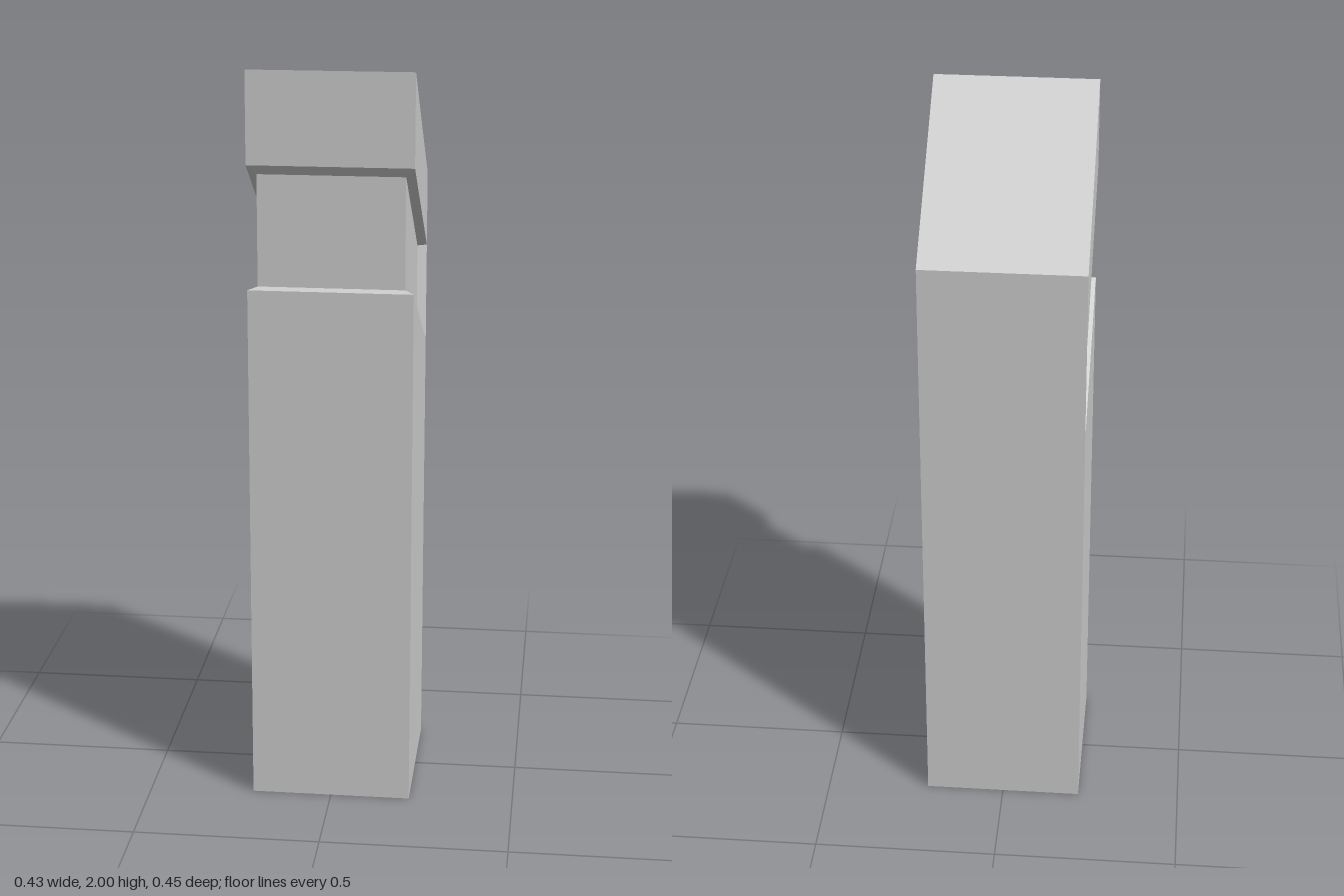
import * as THREE from 'three';

const HALF_X = 0.216, HALF_Z = 0.225;

// Cross-section ring, counter-clockwise from above. The back corners stay on the
// rim while the inner corners can be set in, leaving a chamfer along the back edges.
function section({ inset = 0, front, back, rim = back }) {
  const x = HALF_X - inset, z = HALF_Z - inset;
  return [
    [-HALF_X, rim, -HALF_Z], [-x, back, -z], [-x, front, z],
    [x, front, z], [x, back, -z], [HALF_X, rim, -HALF_Z],
  ].map((p) => new THREE.Vector3(...p));
}

// Joins consecutive rings with flat-shaded faces and optional end caps.
function loft(name, material, sections, { capBottom = false, capTop = false } = {}) {
  const points = [];
  const triangle = (a, b, c) => {
    if (new THREE.Triangle(a, b, c).getArea() > 1e-8) points.push(a, b, c);
  };
  const rings = sections.map(section);
  for (let s = 0; s + 1 < rings.length; s++) {
    const low = rings[s], high = rings[s + 1];
    for (let i = 0; i < low.length; i++) {
      const j = (i + 1) % low.length;
      triangle(low[i], low[j], high[j]);
      triangle(low[i], high[j], high[i]);
    }
  }
  const first = rings[0], last = rings[rings.length - 1];
  for (let i = 1; i + 1 < first.length; i++) {
    if (capBottom) triangle(first[0], first[i + 1], first[i]);
    if (capTop) triangle(last[0], last[i], last[i + 1]);
  }
  const geometry = new THREE.BufferGeometry().setFromPoints(points);
  geometry.computeVertexNormals();
  const mesh = new THREE.Mesh(geometry, material);
  mesh.name = name;
  return mesh;
}

export function createModel() {
  const group = new THREE.Group();
  group.name = 'slantedPillar';
  const material = new THREE.MeshStandardMaterial({ color: 0xcccccc, flatShading: true });

  const ground = { front: 0, back: 0 };
  const shaftTop = { front: 1.43, back: 1.19 };
  const grooveLow = { inset: 0.024, front: 1.435, back: 1.213, rim: 1.19 };
  const grooveHigh = { inset: 0.024, front: 1.73, back: 1.462, rim: 1.46 };
  const headLow = { front: 1.757, back: 1.46 };
  const headTop = { front: 2, back: 1.66 };

  group.add(
    // Tall square shaft with a sloping upper edge
    loft('shaft', material, [ground, shaftTop], { capBottom: true }),
    // Recessed band around the front and sides, flush at the back
    loft('recessedBand', material, [shaftTop, grooveLow, grooveHigh, headLow]),
    // Slanted head
    loft('slantedHead', material, [headLow, headTop], { capTop: true }),
  );
  return group;
}
